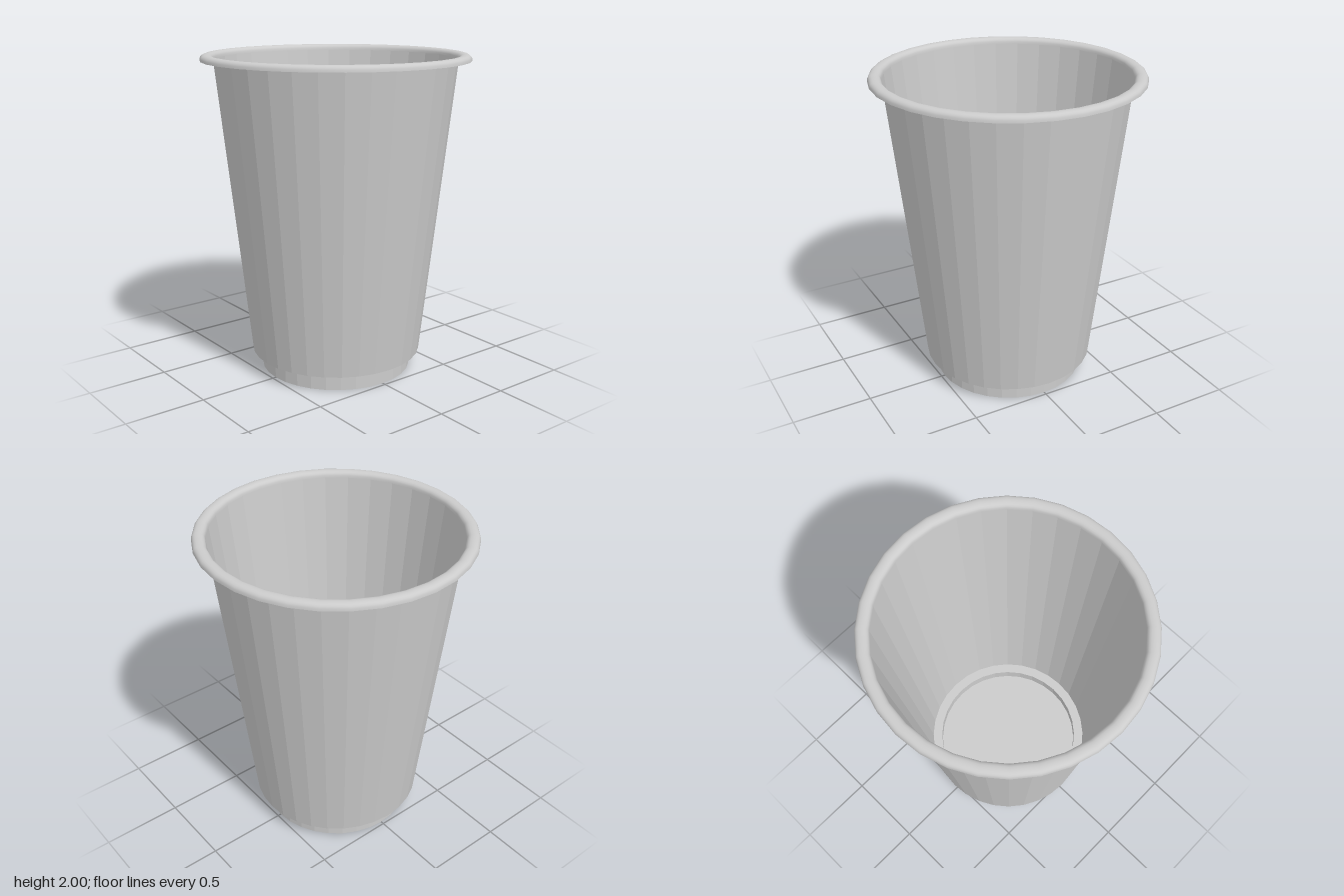
import * as THREE from 'three';

const SEGMENTS = 32;

// Thin sheet turned around the y axis from [radius, height] pairs.
function turned(name, profile, flatShading) {
  const points = profile.map(([r, y]) => new THREE.Vector2(r, y));
  const material = new THREE.MeshStandardMaterial({
    color: 0xcccccc, flatShading, side: THREE.DoubleSide,
  });
  const mesh = new THREE.Mesh(new THREE.LatheGeometry(points, SEGMENTS), material);
  mesh.name = name;
  return mesh;
}

export function createModel() {
  const cup = new THREE.Group();
  cup.name = 'cup';

  // Recessed floor disc
  cup.add(turned('floor', [[0, 0.03], [0.478, 0.03]], true));

  // Narrow foot ring the cup stands on
  cup.add(turned('footRing', [[0.478, 0], [0.478, 0.03], [0.478, 0.11]], true));

  // Step between foot and wall
  cup.add(turned('shoulder', [[0.478, 0.11], [0.54, 0.11]], true));

  // Tapered faceted wall
  cup.add(turned('wall', [[0.54, 0.11], [0.743, 1.963]], true));

  // Rolled lip, open underneath
  const lip = [];
  for (let i = 0; i <= 10; i++) {
    const a = Math.PI * (1 - i / 10);
    const c = Math.cos(a);
    lip.push([
      0.7835 + 0.0405 * Math.sign(c) * Math.abs(c) ** 0.85,
      1.963 + 0.037 * Math.max(0, Math.sin(a)) ** 0.85,
    ]);
  }
  // Run from the outer edge inward so the outside faces up
  cup.add(turned('rolledLip', lip.reverse(), false));

  return cup;
}
